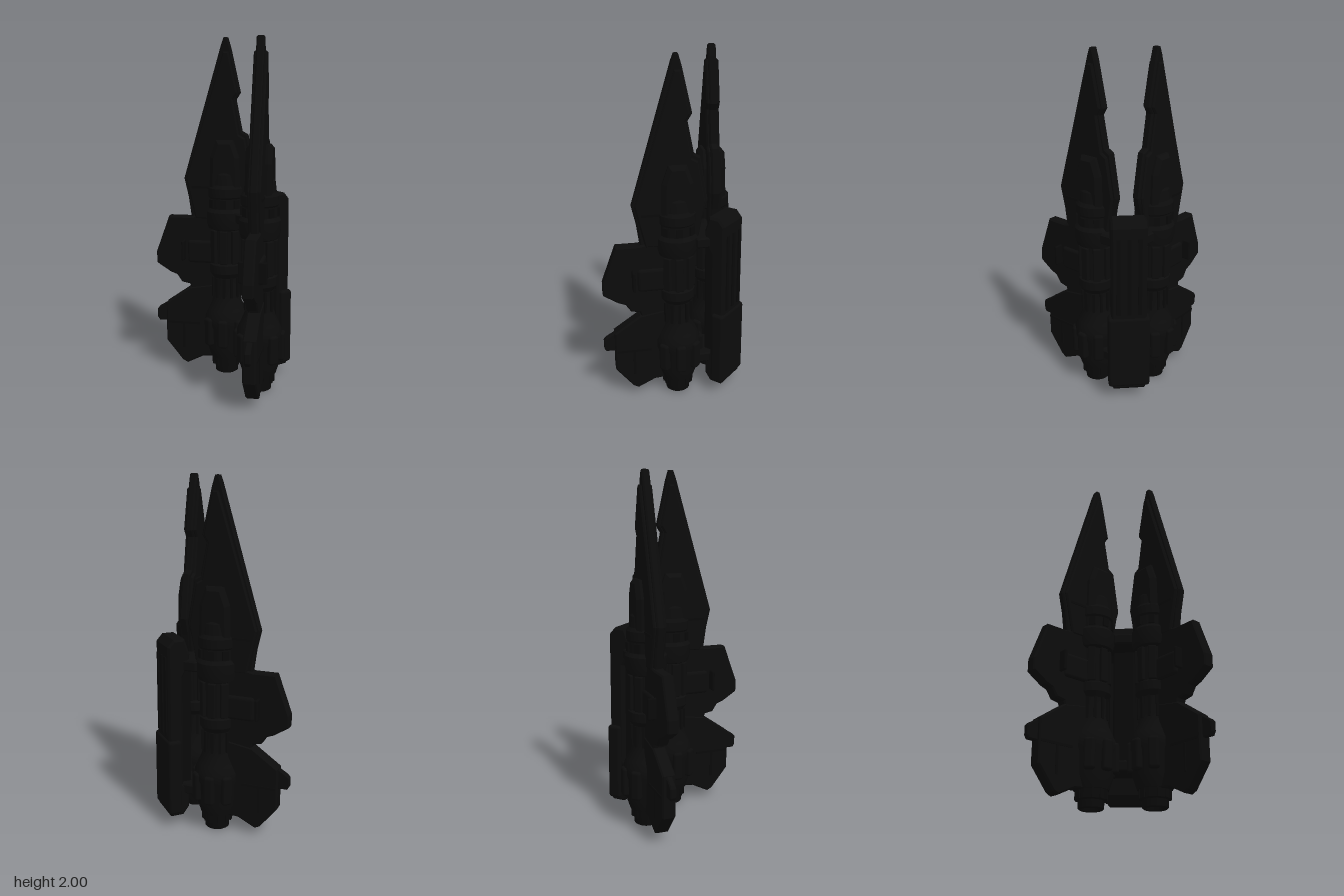
import * as THREE from 'three';
import { toCreasedNormals } from 'three/addons/utils/BufferGeometryUtils.js';
import { RoundedBoxGeometry } from 'three/addons/geometries/RoundedBoxGeometry.js';

const hull = new THREE.MeshStandardMaterial({ color: 0x0c0c0c });
hull.name = 'black hull';
const trim = new THREE.MeshStandardMaterial({ color: 0x090909 });
trim.name = 'deep black trim';

function add(parent, name, geometry, material, x = 0, y = 0, z = 0) {
  const mesh = new THREE.Mesh(geometry, material);
  mesh.name = name;
  mesh.position.set(x, y, z);
  parent.add(mesh);
  return mesh;
}

// Bevelled plate cut from an outline, centred on z = 0
function plate(points, thickness, bevel = 0.008) {
  const shape = new THREE.Shape(points.map(([x, y]) => new THREE.Vector2(x, y)));
  const geometry = new THREE.ExtrudeGeometry(shape, {
    depth: thickness - 2 * bevel, bevelThickness: bevel, bevelSize: bevel,
    bevelOffset: -bevel, bevelSegments: 1, curveSegments: 8,
  });
  geometry.translate(0, 0, bevel - thickness / 2);
  return geometry;
}

// Turned part from [radius, height] pairs, listed from bottom to top
function turned(profile) {
  const points = profile.map(([r, y]) => new THREE.Vector2(r, y));
  return toCreasedNormals(new THREE.LatheGeometry(points, 32), 0.5);
}

// Parts repeated around the engine axis
function ring(parent, name, count, radius, y, make, material, skip = []) {
  for (let i = 0; i < count; i++) {
    if (skip.includes(i)) continue;
    const a = (i / count) * Math.PI * 2;
    const mesh = add(parent, name, make, material, Math.cos(a) * radius, y, Math.sin(a) * radius);
    mesh.rotation.y = -a;
  }
}

// Wing and engine; x runs outward along the wing, z across its thickness
function makeUnit() {
  const unit = new THREE.Group();

  // Tall blade: thin core with thicker armour over it
  add(unit, 'bladeCore', plate([
    [0.01, 2], [-0.012, 2], [-0.03, 1.94], [-0.085, 1.69], [-0.06, 1.65], [-0.095, 1.47],
    [-0.13, 1.45], [-0.172, 1.2], [-0.14, 1.1], [-0.1, 0.9], [0.2, 0.9], [0.225, 1.08],
    [0.25, 1.19], [0.025, 1.96],
  ], 0.045), hull);
  add(unit, 'bladeArmour', plate([
    [0.012, 1.92], [-0.02, 1.92], [-0.07, 1.69], [-0.045, 1.65], [-0.08, 1.45],
    [-0.115, 1.43], [-0.155, 1.2], [-0.11, 0.95], [0.18, 0.95], [0.21, 1.08], [0.235, 1.19],
  ], 0.075), hull);

  // Middle fin
  add(unit, 'middleFin', plate([
    [0, 0.5], [0.21, 0.51], [0.22, 0.545], [0.27, 0.555], [0.3, 0.6], [0.34, 0.615],
    [0.425, 0.67], [0.425, 0.74], [0.345, 0.96], [0.22, 0.96], [0, 1],
  ], 0.065), hull);
  // Lower fin with a narrow outer lug
  add(unit, 'lowerFin', plate([
    [0, 0.1], [0.14, 0.09], [0.24, 0.04], [0.27, 0.055], [0.37, 0.18], [0.37, 0.42],
    [0.22, 0.525], [0, 0.56],
  ], 0.075), hull);
  add(unit, 'finLug', plate([
    [0.25, 0.29], [0.38, 0.3], [0.42, 0.3], [0.432, 0.32], [0.432, 0.37], [0.42, 0.385],
    [0.25, 0.49],
  ], 0.035, 0.006), hull);
  // Raised panel and cross vane on the middle fin
  add(unit, 'finPanel', new RoundedBoxGeometry(0.2, 0.14, 0.095, 2, 0.02), hull, 0.13, 0.75, 0);
  add(unit, 'crossVane', new RoundedBoxGeometry(0.018, 0.12, 0.16, 2, 0.008), trim, 0.252, 0.76, 0);
  // Thin panel lines on both faces
  for (const side of [1, -1]) {
    add(unit, 'panelStrip', new THREE.BoxGeometry(0.2, 0.014, 0.008), trim, 0.26, 0.3, side * 0.038);
    add(unit, 'panelStrip', new THREE.BoxGeometry(0.014, 0.16, 0.008), trim, 0.26, 0.22, side * 0.038);
    add(unit, 'panelStrip', new THREE.BoxGeometry(0.16, 0.014, 0.008), trim, 0.12, 1.14, side * 0.038);
  }

  // Arched cowl above the engine
  add(unit, 'engineCowl', plate([
    [-0.09, 1.12], [0.09, 1.12], [0.085, 1.32], [0.05, 1.42], [-0.05, 1.42], [-0.085, 1.32],
  ], 0.15, 0.022), hull);

  // Engine body
  add(unit, 'engineBody', turned([
    [0, 0.1], [0.095, 0.1], [0.118, 0.17], [0.122, 0.29], [0.13, 0.31], [0.13, 0.36],
    [0.112, 0.4], [0.09, 0.45], [0.08, 0.5], [0.08, 0.6], [0.1, 0.63], [0.1, 0.68],
    [0.085, 0.69], [0.085, 0.89], [0.108, 0.9], [0.118, 0.94], [0.118, 1], [0.1, 1.02],
    [0.1, 1.08], [0.108, 1.09], [0.108, 1.14], [0.092, 1.16], [0.085, 1.22], [0.06, 1.25], [0, 1.25],
  ]), hull);
  // Nozzle with a hollow throat
  add(unit, 'nozzle', turned([
    [0, 0.06], [0.045, 0.05], [0.055, 0.004], [0.06, 0], [0.069, 0.006], [0.07, 0.045],
    [0.083, 0.05], [0.085, 0.105],
  ]), trim);
  // Lobes, ribs and slats around the engine
  ring(unit, 'engineLobe', 8, 0.121, 0.27, new RoundedBoxGeometry(0.054, 0.17, 0.06, 2, 0.016), hull, [0]);
  ring(unit, 'engineSlat', 8, 0.088, 0.79, new RoundedBoxGeometry(0.026, 0.2, 0.045, 2, 0.006), hull);
  ring(unit, 'waistRib', 12, 0.082, 0.54, new THREE.BoxGeometry(0.018, 0.12, 0.014), trim);
  ring(unit, 'nozzleRib', 12, 0.081, 0.075, new THREE.BoxGeometry(0.014, 0.05, 0.02), trim);
  ring(unit, 'collarBlock', 8, 0.1, 1.05, new THREE.BoxGeometry(0.02, 0.05, 0.035), trim);
  return unit;
}

function makePack() {
  const pack = new THREE.Group();
  pack.name = 'centralPack';
  // Main slab with overhanging ends
  add(pack, 'packSlab', plate([
    [0.2, 0.065], [0.275, 0.065], [0.285, 0.08], [0.285, 1.08], [0.25, 1.12], [0.185, 1.12],
    [0.155, 1.03], [0.165, 0.96], [0.2, 0.9], [0.2, 0.26], [0.165, 0.22], [0.165, 0.11],
  ], 0.2, 0.012), hull);
  add(pack, 'packSpine', new RoundedBoxGeometry(0.09, 0.78, 0.13, 2, 0.015), trim, 0.18, 0.6, 0);
  // Wider lower casing
  add(pack, 'lowerCasing', new RoundedBoxGeometry(0.079, 0.45, 0.24, 2, 0.018), hull, 0.2545, 0.31, 0);
  // Ribs along the outer face
  for (const z of [-0.06, 0, 0.06]) {
    add(pack, 'packRib', new THREE.BoxGeometry(0.012, 0.46, 0.022), trim, 0.286, 0.79, z);
  }
  // Brackets holding both engines
  const bracket = plate([
    [0, -0.045], [0.08, -0.14], [0.15, -0.15], [0.205, -0.09],
    [0.205, 0.09], [0.15, 0.15], [0.08, 0.14], [0, 0.045],
  ], 0.06);
  bracket.rotateX(Math.PI / 2);
  for (const y of [0.23, 0.97]) add(pack, 'engineBracket', bracket, hull, 0, y, 0);
  return pack;
}

export function createModel() {
  const model = new THREE.Group();
  model.name = 'twinWingThruster';
  for (const side of [1, -1]) {
    const unit = makeUnit();
    unit.name = side > 0 ? 'frontWingUnit' : 'backWingUnit';
    unit.position.set(0.018, 0, side * 0.168);
    unit.rotation.y = -side * Math.PI * 0.75;
    model.add(unit);
  }
  model.add(makePack());
  return model;
}
